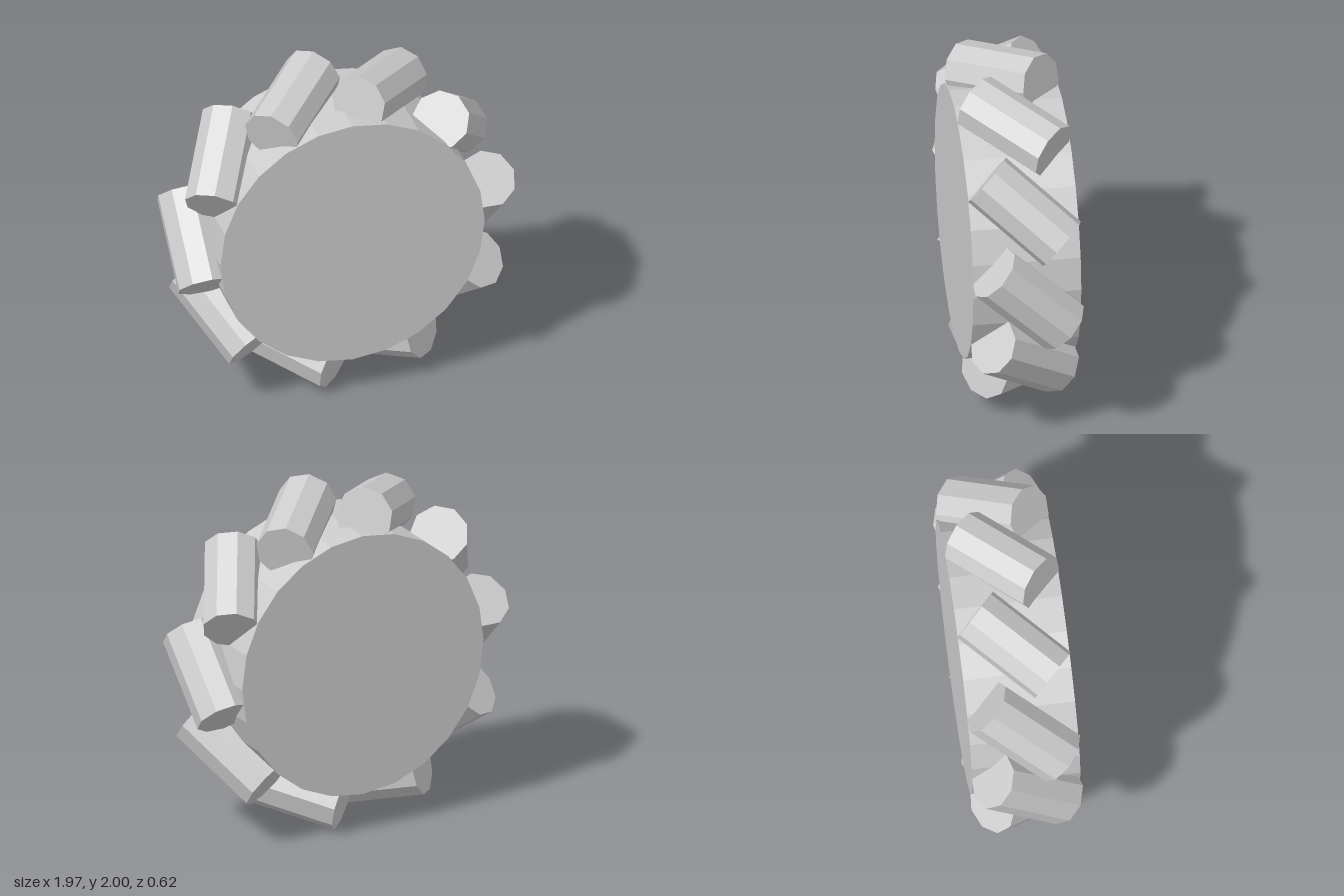
import * as THREE from 'three';

const ROLLERS = 10;
const RING_RADIUS = 0.822;

// Faceted cylinder lying along z, with its first corner pointing up
function facetedCylinder(radius, length, sides) {
  const indexed = new THREE.CylinderGeometry(radius, radius, length, sides);
  indexed.rotateX(-Math.PI / 2);
  const geometry = indexed.toNonIndexed();
  geometry.computeVertexNormals();
  return geometry;
}

export function createModel() {
  const group = new THREE.Group();
  group.name = 'rollerWheel';

  const grey = new THREE.MeshStandardMaterial({ color: 0xcccccc });
  grey.name = 'light grey';

  // Solid hub disc
  const hub = new THREE.Mesh(facetedCylinder(0.773, 0.608, 24), grey);
  hub.name = 'hub';
  hub.position.y = 1;
  group.add(hub);

  // Rollers around the rim, each slanted 45 degrees to the wheel axis
  const rollerGeometry = facetedCylinder(0.165, 0.55, 9);
  const zAxis = new THREE.Vector3(0, 0, 1);
  for (let i = 0; i < ROLLERS; i++) {
    const a = (i / ROLLERS) * Math.PI * 2;
    const axis = new THREE.Vector3(-Math.sin(a), Math.cos(a), 1).normalize();
    const roller = new THREE.Mesh(rollerGeometry, grey);
    roller.name = `roller${i + 1}`;
    roller.position.set(RING_RADIUS * Math.cos(a), 1 + RING_RADIUS * Math.sin(a), 0);
    roller.quaternion.setFromUnitVectors(zAxis, axis);
    group.add(roller);
  }
  return group;
}
